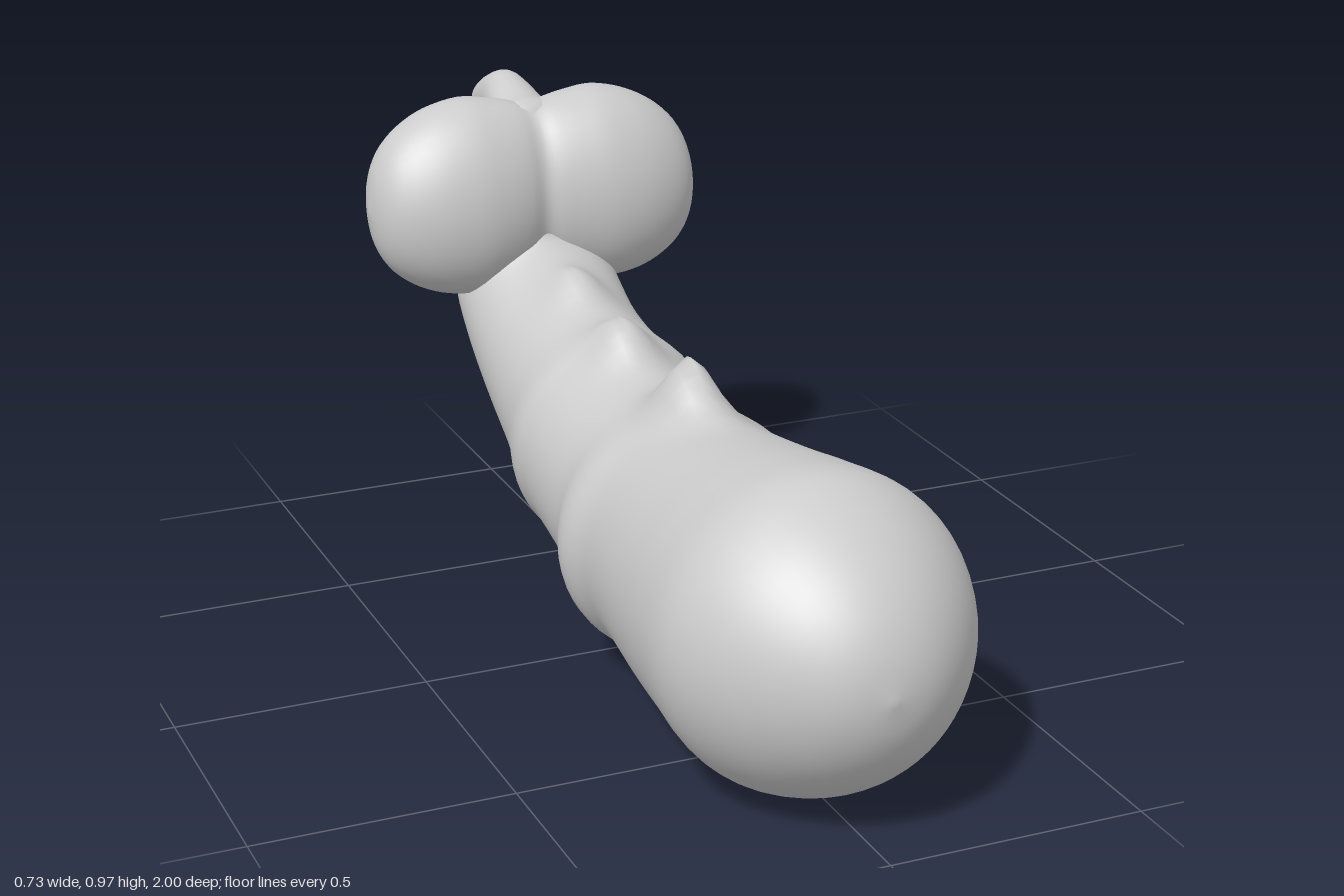
import * as THREE from 'three';
import { mergeVertices } from 'three/addons/utils/BufferGeometryUtils.js';

const material = new THREE.MeshStandardMaterial({ color: 0xcccccc });

// Smoothly resamples rows of station numbers, column by column.
function resample(rows, steps) {
  const out = [];
  const cr = (a, b, c, d, t) => b + 0.5 * t * (c - a + t * (2 * a - 5 * b + 4 * c - d + t * (3 * (b - c) + d - a)));
  const at = i => rows[Math.max(0, Math.min(rows.length - 1, i))];
  for (let i = 0; i < rows.length - 1; i++) {
    for (let s = 0; s < steps; s++) {
      out.push(rows[i].map((_, k) => cr(at(i - 1)[k], at(i)[k], at(i + 1)[k], at(i + 2)[k], s / steps)));
    }
  }
  out.push(rows[rows.length - 1]);
  return out;
}

// Skins closed rings; point(row, cos, sin) gives each vertex.
function loft(name, rows, sides, point) {
  const pos = [], index = [];
  rows.forEach((row, i) => {
    for (let j = 0; j < sides; j++) {
      const a = (j / sides) * Math.PI * 2;
      pos.push(...point(row, Math.cos(a), Math.sin(a)));
      if (i === rows.length - 1) continue;
      const p = i * sides + j, q = i * sides + (j + 1) % sides;
      index.push(p, q, p + sides, q, q + sides, p + sides);
    }
  });
  let geometry = new THREE.BufferGeometry();
  geometry.setAttribute('position', new THREE.Float32BufferAttribute(pos, 3));
  geometry.setIndex(index);
  geometry = mergeVertices(geometry, 1e-5);
  geometry.computeVertexNormals();
  const mesh = new THREE.Mesh(geometry, material);
  mesh.name = name;
  return mesh;
}

export function createModel() {
  const group = new THREE.Group();

  // Body stations: top z, top y, bottom z, bottom y, half width
  const body = [
    [1.0, 0.31, 1.0, 0.31, 0],
    [0.985, 0.385, 0.985, 0.235, 0.075],
    [0.95, 0.455, 0.95, 0.165, 0.14],
    [0.89, 0.52, 0.89, 0.1, 0.205],
    [0.8, 0.58, 0.8, 0.04, 0.267],
    [0.69, 0.615, 0.69, 0.004, 0.3],
    [0.55, 0.597, 0.55, 0.01, 0.288],
    [0.4, 0.57, 0.4, 0.014, 0.268],
    [0.2, 0.54, 0.2, 0.033, 0.245],
    [0.1, 0.53, 0.1, 0.032, 0.258],
    [0.0, 0.528, 0.0, 0.064, 0.222],
    [-0.1, 0.535, -0.12, 0.088, 0.213],
    [-0.2, 0.555, -0.22, 0.113, 0.213],
    [-0.25, 0.57, -0.3, 0.12, 0.213],
    [-0.35, 0.58, -0.4, 0.163, 0.188],
    [-0.46, 0.6, -0.6, 0.265, 0.176],
    [-0.56, 0.635, -0.72, 0.37, 0.174],
    [-0.61, 0.67, -0.81, 0.47, 0.168],
    [-0.62, 0.72, -0.835, 0.57, 0.14],
    [-0.64, 0.76, -0.8, 0.68, 0.1],
    [-0.72, 0.75, -0.72, 0.75, 0],
  ];
  // Bumps along the back: z, height, half length
  const bumps = [[0.13, 0.115, 0.085], [-0.19, 0.065, 0.075], [-0.45, 0.045, 0.07]];
  group.add(loft('body', resample(body, 5), 56, ([tz, ty, bz, by, w], c, s) => {
    const x = w * s;
    let y = (ty + by) / 2 + c * (ty - by) / 2;
    const z = (tz + bz) / 2 + c * (tz - bz) / 2;
    if (c > 0) {
      for (const [bzc, h, len] of bumps) {
        y += h * Math.exp(-(((z - bzc) / len) ** 2) - (x / 0.06) ** 2);
      }
    }
    return [x, y, z];
  }));

  // Twin lobes joined by a waist: x, centre y, half height, half depth
  const half = [
    [0, 0.765, 0.165, 0.1],
    [0.04, 0.762, 0.18, 0.116],
    [0.09, 0.757, 0.195, 0.13],
    [0.15, 0.753, 0.205, 0.138],
    [0.22, 0.75, 0.193, 0.132],
    [0.28, 0.747, 0.165, 0.113],
    [0.325, 0.745, 0.125, 0.085],
    [0.352, 0.743, 0.072, 0.048],
    [0.363, 0.742, 0, 0],
  ];
  const lobes = [...half.slice(1).reverse().map(([x, ...r]) => [-x, ...r]), ...half];
  group.add(loft('headLobes', resample(lobes, 4), 40,
    ([x, cy, ry, rz], c, s) => [x, cy + ry * c, -0.707 + rz * s - 0.02 * c * ry / 0.2]));

  // Curved horn at the rear: z, centre y, half height, half width
  const horn = [
    [-0.66, 0.86, 0, 0],
    [-0.7, 0.86, 0.075, 0.09],
    [-0.76, 0.872, 0.074, 0.075],
    [-0.82, 0.902, 0.062, 0.058],
    [-0.87, 0.911, 0.06, 0.05],
    [-0.93, 0.898, 0.051, 0.046],
    [-0.97, 0.886, 0.04, 0.038],
    [-0.992, 0.882, 0.022, 0.022],
    [-1.0, 0.881, 0, 0],
  ];
  group.add(loft('horn', resample(horn, 4), 24,
    ([z, cy, ry, rx], c, s) => [rx * s, cy + ry * c, z]));

  // Flat heart plate below the horn
  const shape = new THREE.Shape();
  shape.moveTo(0, 0.59);
  shape.lineTo(0.075, 0.675);
  shape.bezierCurveTo(0.1, 0.71, 0.075, 0.75, 0.045, 0.75);
  shape.quadraticCurveTo(0.015, 0.75, 0, 0.715);
  shape.quadraticCurveTo(-0.015, 0.75, -0.045, 0.75);
  shape.bezierCurveTo(-0.075, 0.75, -0.1, 0.71, -0.075, 0.675);
  shape.closePath();
  const heart = new THREE.Mesh(
    new THREE.ExtrudeGeometry(shape, { depth: 0.07, bevelEnabled: false, curveSegments: 6 }), material);
  heart.position.z = -0.868;
  heart.name = 'heartPlate';
  group.add(heart);

  return group;
}
